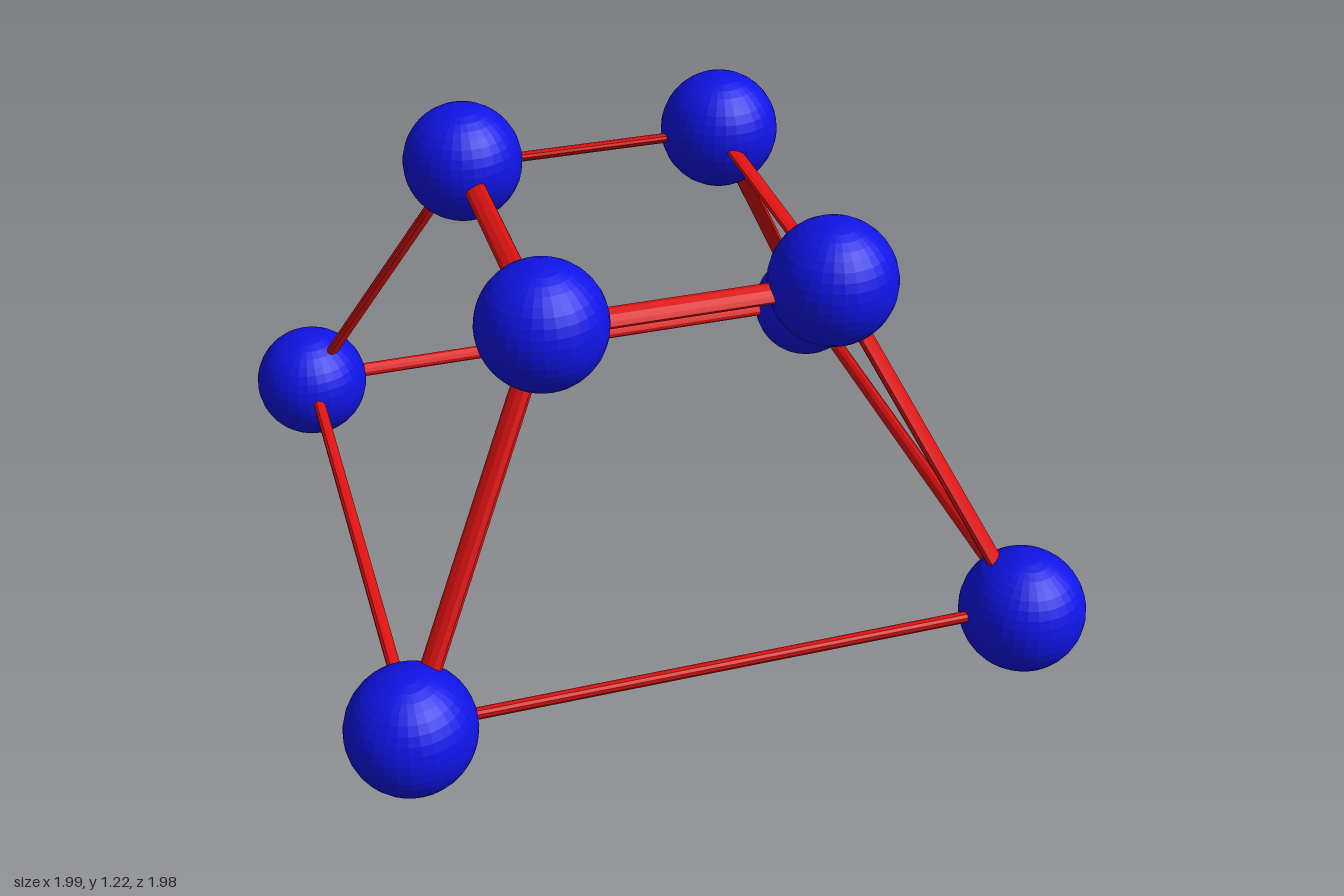
import * as THREE from 'three';

const BALL_RADIUS = 0.168;
const UP = new THREE.Vector3(0, 1, 0);

export function createModel() {
  const model = new THREE.Group();
  model.name = 'ballAndRodFrame';

  const blue = new THREE.MeshStandardMaterial({ color: 0x1014e6, flatShading: true });
  const red = new THREE.MeshStandardMaterial({ color: 0xe01212, flatShading: true });
  const ballGeometry = new THREE.SphereGeometry(BALL_RADIUS, 32, 20);
  const rodGeometry = new THREE.CylinderGeometry(0.5, 0.5, 1, 10);

  // Flattened rod from a to b; its wide side follows the given axis
  function addRod(name, a, b, wideAxis, width, thickness) {
    const along = b.clone().sub(a);
    const length = along.length();
    along.normalize();
    const across = new THREE.Vector3().crossVectors(wideAxis, along);
    const rod = new THREE.Mesh(rodGeometry, red);
    rod.name = name;
    rod.quaternion.setFromRotationMatrix(new THREE.Matrix4().makeBasis(wideAxis, along, across));
    rod.scale.set(width, length, thickness);
    rod.position.copy(a).add(b).multiplyScalar(0.5);
    model.add(rod);
  }

  // Corners of a level, in order around the frame
  const corners = (x, y, z) => [[1, 1], [1, -1], [-1, -1], [-1, 1]]
    .map(([sx, sz]) => new THREE.Vector3(sx * x, y, sz * z));

  // The wide base and the narrower top
  const levels = [
    { name: 'base', points: corners(0.826, 0.17, 0.824), lift: 0.008, tilt: 135, width: 0.042, thickness: 0.031 },
    { name: 'top', points: corners(0.379, 1.05, 0.459), lift: -0.01, tilt: 26, width: 0.063, thickness: 0.028 },
  ];

  for (const { name, points, lift, tilt, width, thickness } of levels) {
    points.forEach((point, i) => {
      const ball = new THREE.Mesh(ballGeometry, blue);
      ball.name = name + 'Ball';
      ball.position.copy(point);
      model.add(ball);

      // Side rod to the next corner, tilted towards the middle of the frame
      const a = point.clone().addScaledVector(UP, lift);
      const b = points[(i + 1) % 4].clone().addScaledVector(UP, lift);
      const inward = a.clone().add(b).setY(0).normalize().negate();
      const angle = THREE.MathUtils.degToRad(tilt);
      const wideAxis = inward.multiplyScalar(Math.cos(angle)).addScaledVector(UP, Math.sin(angle));
      addRod(name + 'Rod', a, b, wideAxis, width, thickness);
    });
  }

  // Slanted legs joining base and top
  levels[0].points.forEach((foot, i) => {
    const head = levels[1].points[i];
    const wideAxis = head.clone().sub(foot).cross(UP).normalize();
    addRod('leg', foot, head, wideAxis, 0.063, 0.033);
  });

  return model;
}
